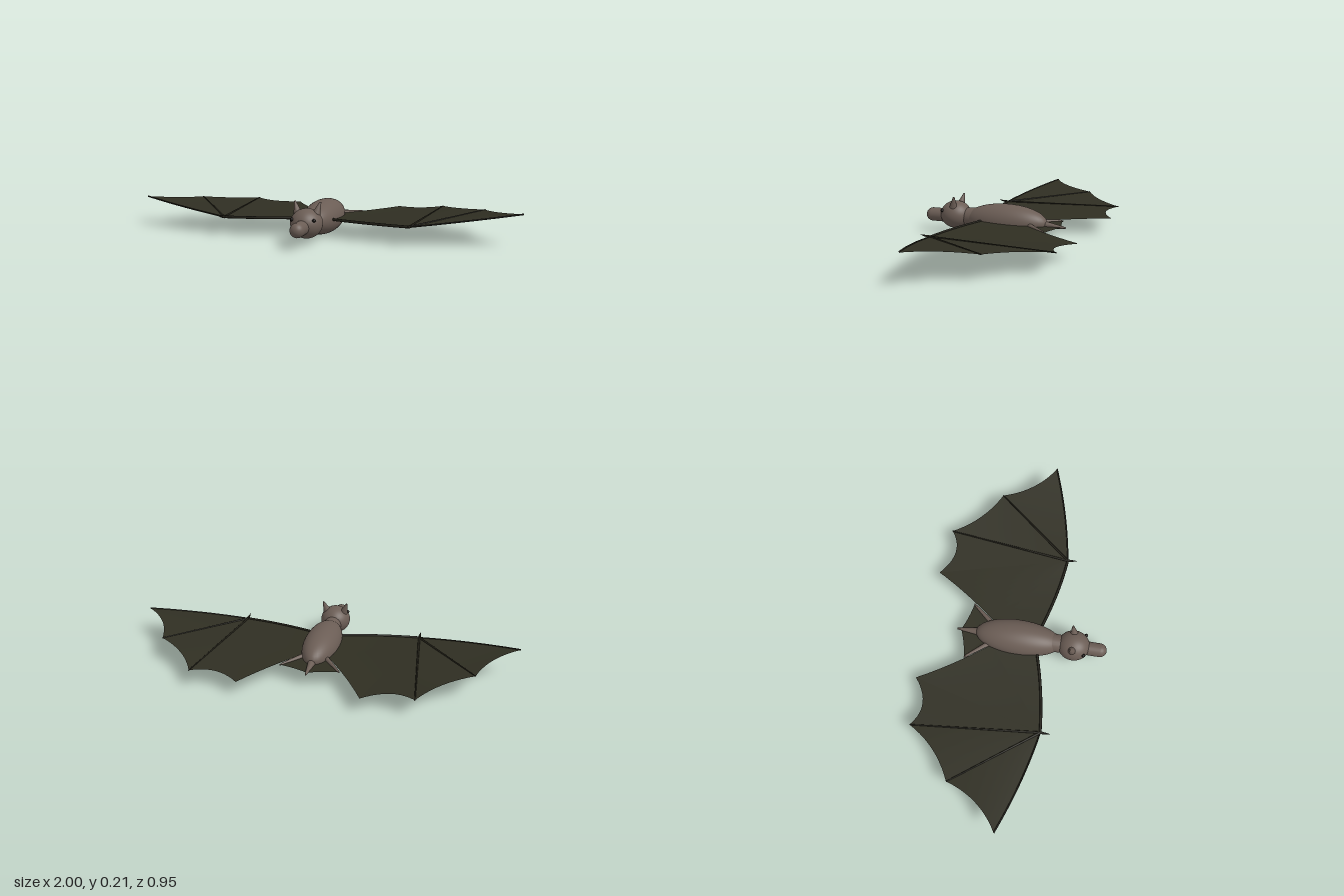
import * as THREE from 'three';

const V = (x, y, z) => new THREE.Vector3(x, y, z);
const UP = V(0, 1, 0);

export function createModel() {
  const model = new THREE.Group();
  model.name = 'bat';
  const mat = (name, color, side = THREE.FrontSide) => {
    const m = new THREE.MeshStandardMaterial({ color, side });
    m.name = name;
    return m;
  };
  const fur = mat('brown fur', 0x6b5d55);
  const skin = mat('wing skin', 0x2f2e22, THREE.DoubleSide);
  const bone = mat('dark bone', 0x1f1d15);
  const black = mat('eye black', 0x15110f);

  const add = (parent, name, geometry, material) => {
    const mesh = new THREE.Mesh(geometry, material);
    mesh.name = name;
    parent.add(mesh);
    return mesh;
  };
  const ellipsoid = (parent, name, centre, radii, material) => {
    const mesh = add(parent, name, new THREE.SphereGeometry(1, 40, 28), material);
    mesh.position.copy(centre);
    mesh.scale.copy(radii);
  };
  // Tapered round rod between two points
  const limb = (parent, name, a, b, ra, rb, material) => {
    const dir = b.clone().sub(a);
    const mesh = add(parent, name, new THREE.CylinderGeometry(rb, ra, dir.length(), 12), material);
    mesh.position.copy(a).addScaledVector(dir, 0.5);
    mesh.quaternion.setFromUnitVectors(UP, dir.normalize());
  };
  // Points of a bowed edge from a to b, with the middle moved by (dx, dz)
  const bow = (a, b, dx, dz) => {
    const mid = a.clone().lerp(b, 0.5).add(V(dx * 2, 0, dz * 2));
    return new THREE.QuadraticBezierCurve3(a, mid, b).getPoints(10);
  };
  // Thin skin fanned out from a hub to an outline
  const fan = (hub, outline) => {
    const index = [];
    for (let i = 1; i < outline.length; i++) index.push(0, i, i + 1);
    const g = new THREE.BufferGeometry().setFromPoints([hub, ...outline]);
    g.setIndex(index);
    g.computeVertexNormals();
    return g;
  };

  // Body, head and muzzle
  ellipsoid(model, 'body', V(0, 0.088, 0.01), V(0.093, 0.088, 0.225), fur);
  ellipsoid(model, 'head', V(0, 0.1, 0.3), V(0.079, 0.073, 0.083), fur);
  const neck = add(model, 'neck', new THREE.CylinderGeometry(0.045, 0.05, 0.1, 24), fur);
  neck.rotation.x = Math.PI / 2;
  neck.position.set(0, 0.094, 0.21);
  const muzzle = add(model, 'muzzle', new THREE.CapsuleGeometry(0.036, 0.06, 10, 28), fur);
  muzzle.rotation.x = Math.PI / 2;
  muzzle.position.set(0, 0.09, 0.407);
  limb(model, 'tail', V(0, 0.085, -0.17), V(0, 0.076, -0.315), 0.025, 0.004, fur);

  for (const s of [1, -1]) {
    const side = s > 0 ? 'left' : 'right';
    const P = (x, y, z) => V(s * x, y, z);

    // Face details
    limb(model, side + 'Ear', P(0.047, 0.148, 0.293), P(0.065, 0.204, 0.281), 0.021, 0.004, fur);
    ellipsoid(model, side + 'Eye', P(0.056, 0.125, 0.356), V(0.009, 0.009, 0.009), black);

    // Hind leg
    limb(model, side + 'Leg', P(0.05, 0.085, -0.13), P(0.14, 0.079, -0.24), 0.014, 0.006, fur);
    limb(model, side + 'Foot', P(0.138, 0.079, -0.238), P(0.152, 0.076, -0.252), 0.007, 0.003, fur);

    // Wing membrane with scalloped trailing edge
    const wing = new THREE.Group();
    wing.name = side + 'Wing';
    model.add(wing);
    const wrist = P(0.48, 0.09, 0.2);
    const tip = P(1, 0.155, 0.06);
    const outer = P(0.8, 0.125, -0.21);
    const middle = P(0.55, 0.096, -0.45);
    const inner = P(0.3, 0.08, -0.473);
    const rootBack = P(0.06, 0.085, -0.12);
    const rootFront = P(0.06, 0.092, 0.115);
    const handEdge = bow(wrist, tip, s * 0.002, 0.014);
    const armEdge = bow(rootFront, wrist, 0, 0.012);
    const outline = [
      ...handEdge.slice(1),
      ...bow(tip, outer, s * -0.025, 0.022),
      ...bow(outer, middle, s * -0.02, 0.02),
      ...bow(middle, inner, s * 0.005, 0.052),
      ...bow(inner, rootBack, s * 0.014, -0.004),
      ...armEdge.slice(0, -1),
    ];
    add(wing, 'membrane', fan(wrist, outline), skin);

    // Arm, finger bones and thumb claw
    const rod = (name, points, r) => add(wing, name,
      new THREE.TubeGeometry(new THREE.CatmullRomCurve3(points), 20, r, 8), bone);
    rod('armBone', armEdge, 0.007);
    rod('leadingFinger', handEdge, 0.004);
    limb(wing, 'outerFinger', wrist, outer, 0.006, 0.003, bone);
    limb(wing, 'middleFinger', wrist, middle, 0.006, 0.003, bone);
    limb(wing, 'thumbClaw', wrist, P(0.482, 0.098, 0.25), 0.008, 0.001, bone);

    // Half of the tail membrane
    const ankle = P(0.15, 0.078, -0.252);
    add(model, side + 'TailMembrane', fan(V(0, 0.08, -0.14), [
      P(0.07, 0.082, -0.155), ...bow(ankle, V(0, 0.077, -0.295), 0, 0.005),
    ]), skin);
  }
  return model;
}
